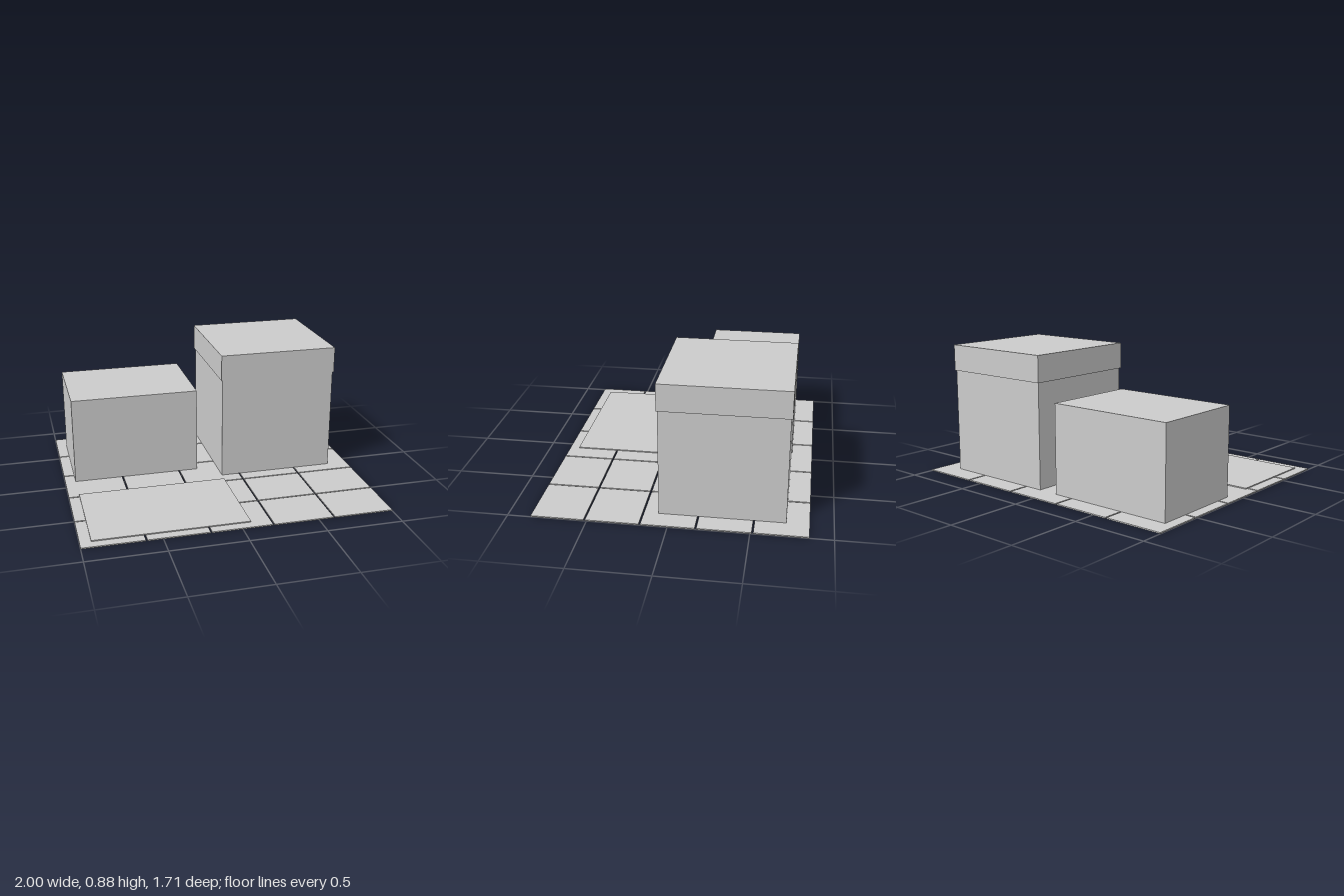
import * as THREE from 'three';

export function createModel() {
  const model = new THREE.Group();
  const grey = new THREE.MeshStandardMaterial({ color: 0xcccccc });
  grey.name = 'light grey';

  // Adds a box given its extents along each axis
  function block(name, [x0, x1], [y0, y1], [z0, z1], parent = model) {
    const mesh = new THREE.Mesh(new THREE.BoxGeometry(x1 - x0, y1 - y0, z1 - z0), grey);
    mesh.position.set((x0 + x1) / 2, (y0 + y1) / 2, (z0 + z1) / 2);
    mesh.name = name;
    parent.add(mesh);
  }

  // Paved floor: five by five thin tiles with open joints
  const floor = new THREE.Group();
  floor.name = 'tileFloor';
  model.add(floor);
  const count = 5, gap = 0.01, thick = 0.008, halfX = 1, halfZ = 0.853;
  const tileX = (2 * halfX - gap * (count - 1)) / count;
  const tileZ = (2 * halfZ - gap * (count - 1)) / count;
  for (let i = 0; i < count; i++) {
    for (let j = 0; j < count; j++) {
      const x = -halfX + i * (tileX + gap);
      const z = -halfZ + j * (tileZ + gap);
      block('floorTile', [x, x + tileX], [0, thick], [z, z + tileZ], floor);
    }
  }

  // Flat mat at the front
  block('mat', [-0.93, 0.07], [thick, 0.015], [0.147, 0.79]);

  // Low box
  block('lowBox', [-0.93, -0.07], [thick, 0.595], [-0.715, -0.07]);

  // Tall box with a slightly wider lid
  const tall = new THREE.Group();
  tall.name = 'tallBox';
  model.add(tall);
  block('tallBoxBody', [0.074, 0.862], [thick, 0.705], [-0.712, 0.076], tall);
  block('tallBoxLid', [0.066, 0.869], [0.705, 0.88], [-0.72, 0.083], tall);

  return model;
}
